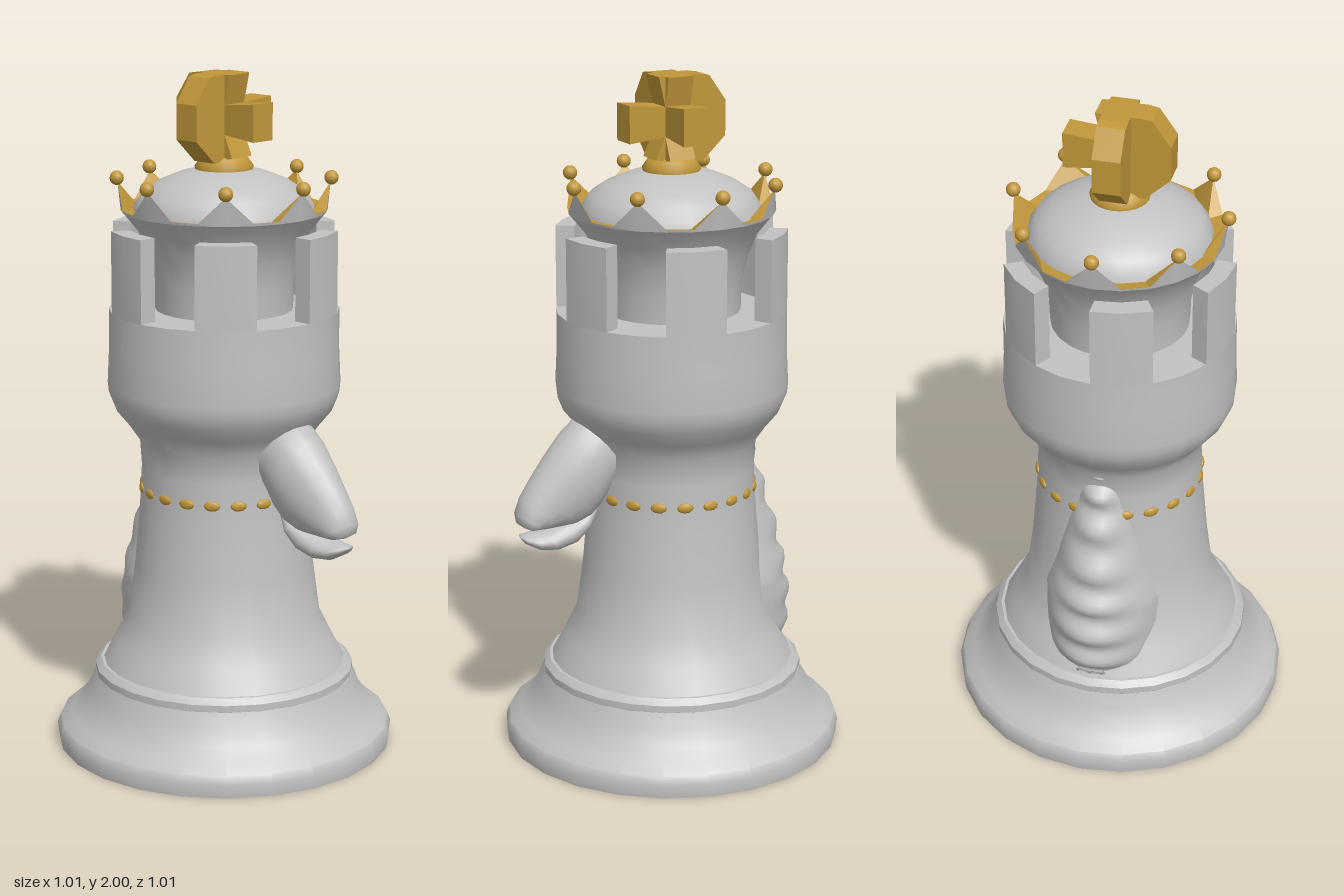
import * as THREE from 'three';
import { toCreasedNormals } from 'three/addons/utils/BufferGeometryUtils.js';

const grey = new THREE.MeshStandardMaterial({ color: 0xc2c2c2 });
grey.name = 'stone grey';
const gold = new THREE.MeshStandardMaterial({ color: 0xc0973a });
gold.name = 'gold';

const SIDES = 24;
const polar = (r, y, a) => new THREE.Vector3(r * Math.sin(a), y, r * Math.cos(a));

// Skin closed rings of points, smooth across the seam
function loft(rings) {
  const n = rings[0].length, index = [];
  for (let i = 0; i < rings.length - 1; i++) {
    for (let j = 0; j < n; j++) {
      const a = i * n + j, b = i * n + (j + 1) % n;
      index.push(a, b, a + n, b, b + n, a + n);
    }
  }
  const g = new THREE.BufferGeometry().setFromPoints(rings.flat());
  g.setIndex(index);
  g.computeVertexNormals();
  return g;
}

const ring = (n, fn) => Array.from({ length: n }, (_, j) => fn(j / n * Math.PI * 2, j));

function lathe(profile, crease = 0.6) {
  const pts = profile.map(([r, y]) => new THREE.Vector2(r, y));
  return toCreasedNormals(new THREE.LatheGeometry(pts, SIDES), crease);
}

// Horse-head section: top point, bottom point, half width
function headSection([tx, ty, bx, by, w]) {
  return ring(20, t => new THREE.Vector3(
    (tx + bx) / 2 + (tx - bx) / 2 * Math.cos(t),
    (ty + by) / 2 + (ty - by) / 2 * Math.cos(t),
    w * Math.sin(t)));
}

export function createModel() {
  const model = new THREE.Group();
  const add = (name, geometry, material, parent = model) => {
    const m = new THREE.Mesh(geometry, material);
    m.name = name;
    parent.add(m);
    return m;
  };

  // Turned body
  add('base', lathe([[0, 0], [0.5, 0], [0.505, 0.04], [0.495, 0.065], [0.46, 0.09],
    [0.43, 0.125], [0.405, 0.17], [0.388, 0.215]]), grey);
  add('collar', lathe([[0.37, 0.212], [0.387, 0.215], [0.387, 0.235], [0.37, 0.252], [0.34, 0.252]]), grey);
  add('stem', lathe([[0.362, 0.25], [0.325, 0.32], [0.285, 0.4], [0.265, 0.55], [0.25, 0.72],
    [0.243, 0.85], [0.248, 0.93], [0.285, 0.985], [0.322, 1.03], [0.338, 1.07], [0.341, 1.1],
    [0.336, 1.2], [0.335, 1.32], [0.2, 1.32]]), grey);
  add('crownCore', lathe([[0.2, 1.31], [0.203, 1.4], [0.22, 1.48], [0.25, 1.55], [0.298, 1.61]]), grey);

  // Six battlements, each 30 degrees wide
  const battlements = new THREE.Group();
  battlements.name = 'battlements';
  model.add(battlements);
  for (let k = 0; k < 6; k++) {
    const angles = [-30, -15, 0].map(d => THREE.MathUtils.degToRad(d + k * 60));
    const at = (r, a) => new THREE.Vector2(r * Math.sin(a), -r * Math.cos(a));
    const shape = new THREE.Shape([
      ...angles.map(a => at(0.335, a)),
      ...angles.slice().reverse().map(a => at(0.28, a))]);
    const g = new THREE.ExtrudeGeometry(shape, { depth: 0.24, bevelEnabled: false });
    g.rotateX(-Math.PI / 2).translate(0, 1.32, 0);
    add('battlement', toCreasedNormals(g, 0.6), grey, battlements);
  }

  // Coronet: grey outside, gold inside, a point every 45 degrees
  const foot = ring(SIDES, a => polar(0.298, 1.608, a));
  const rim = ring(SIDES, (a, j) => j % 3 ? polar(0.3, 1.615, a) : polar(0.306, 1.69, a));
  const inner = ring(SIDES, a => polar(0.257, 1.608, a));
  add('coronetOutside', toCreasedNormals(loft([foot, rim]), 0.6), grey);
  add('coronetInside', toCreasedNormals(loft([rim, inner]), 0.2), gold);
  for (let k = 0; k < 8; k++) {
    const ball = add('coronetBall', new THREE.SphereGeometry(0.021, 12, 8), gold);
    ball.position.copy(polar(0.308, 1.7, k * Math.PI / 4));
  }
  add('dome', lathe([[0.265, 1.59], [0.258, 1.625], [0.235, 1.66], [0.19, 1.69],
    [0.13, 1.715], [0.07, 1.73], [0, 1.735]], 1), grey);

  // Finial: bead and two crossed plates
  add('finialBead', lathe([[0.08, 1.715], [0.085, 1.735], [0.07, 1.757], [0.04, 1.775], [0, 1.78]], 1), gold);
  const plate = new THREE.Shape([
    [-0.152, 1.82], [-0.152, 1.922], [-0.1, 1.995], [-0.07, 2], [0.06, 2], [0.04, 1.915],
    [0.152, 1.925], [0.152, 1.818], [0.04, 1.83], [0.07, 1.765], [0, 1.75], [-0.08, 1.752],
  ].map(p => new THREE.Vector2(...p)));
  for (const turn of [0, Math.PI / 2]) {
    const g = new THREE.ExtrudeGeometry(plate, { depth: 0.08, bevelEnabled: false });
    g.translate(0, 0, -0.04).rotateY(turn);
    add('finialCross', g, gold);
  }

  // Ring of gold studs
  for (let k = 0; k < 20; k++) {
    const a = k / 20 * Math.PI * 2;
    const stud = add('stud', new THREE.SphereGeometry(1, 10, 6), gold);
    stud.scale.set(0.024, 0.015, 0.008);
    stud.position.copy(polar(0.245, 0.788, a));
    stud.rotation.y = a;
  }

  // Horse head
  const head = new THREE.Group();
  head.name = 'horseHead';
  model.add(head);
  add('skull', loft([
    [0.18, 1.05, 0.14, 0.84, 0.08], [0.295, 1.035, 0.215, 0.81, 0.098],
    [0.355, 0.985, 0.243, 0.765, 0.097], [0.41, 0.92, 0.275, 0.73, 0.086],
    [0.455, 0.86, 0.32, 0.712, 0.073], [0.488, 0.81, 0.365, 0.713, 0.066],
    [0.502, 0.765, 0.42, 0.715, 0.06], [0.497, 0.735, 0.455, 0.718, 0.045],
    [0.48, 0.722, 0.479, 0.721, 0.001],
  ].map(headSection)), grey);
  add('lowerJaw', loft([
    [0.25, 0.8, 0.24, 0.77, 0.03], [0.32, 0.745, 0.275, 0.7, 0.055],
    [0.375, 0.725, 0.32, 0.658, 0.058], [0.42, 0.706, 0.38, 0.644, 0.056],
    [0.46, 0.702, 0.435, 0.65, 0.048], [0.485, 0.7, 0.475, 0.672, 0.032],
    [0.492, 0.692, 0.491, 0.69, 0.001],
  ].map(headSection)), grey);

  // Wavy mane down the other side, spreading toward the foot
  const ridge = new THREE.SplineCurve([[0.235, 0.93], [0.265, 0.87], [0.3, 0.75], [0.345, 0.6],
    [0.37, 0.48], [0.382, 0.36], [0.36, 0.26]].map(p => new THREE.Vector2(...p)));
  const maneRings = [];
  for (let i = 0; i <= 48; i++) {
    const t = 1 - i / 48, p = ridge.getPoint(t);
    const w = 0.05 + 0.14 * Math.min(1, t * 1.5);
    const bump = 0.012 * Math.sin(t * Math.PI * 14);
    maneRings.push(ring(32, a => {
      const s = Math.sin(a), back = Math.max(0, -s);
      const reach = p.x - 0.1 + bump * back ** 4;
      return new THREE.Vector3(-0.1 + reach * s * (s < 0 ? 1 : 0.2), p.y, w * Math.cos(a));
    }));
  }
  const close = r => r.map(v => new THREE.Vector3(-0.15, v.y, 0));
  add('mane', loft([close(maneRings[0]), ...maneRings, close(maneRings[48])]), grey);

  return model;
}
